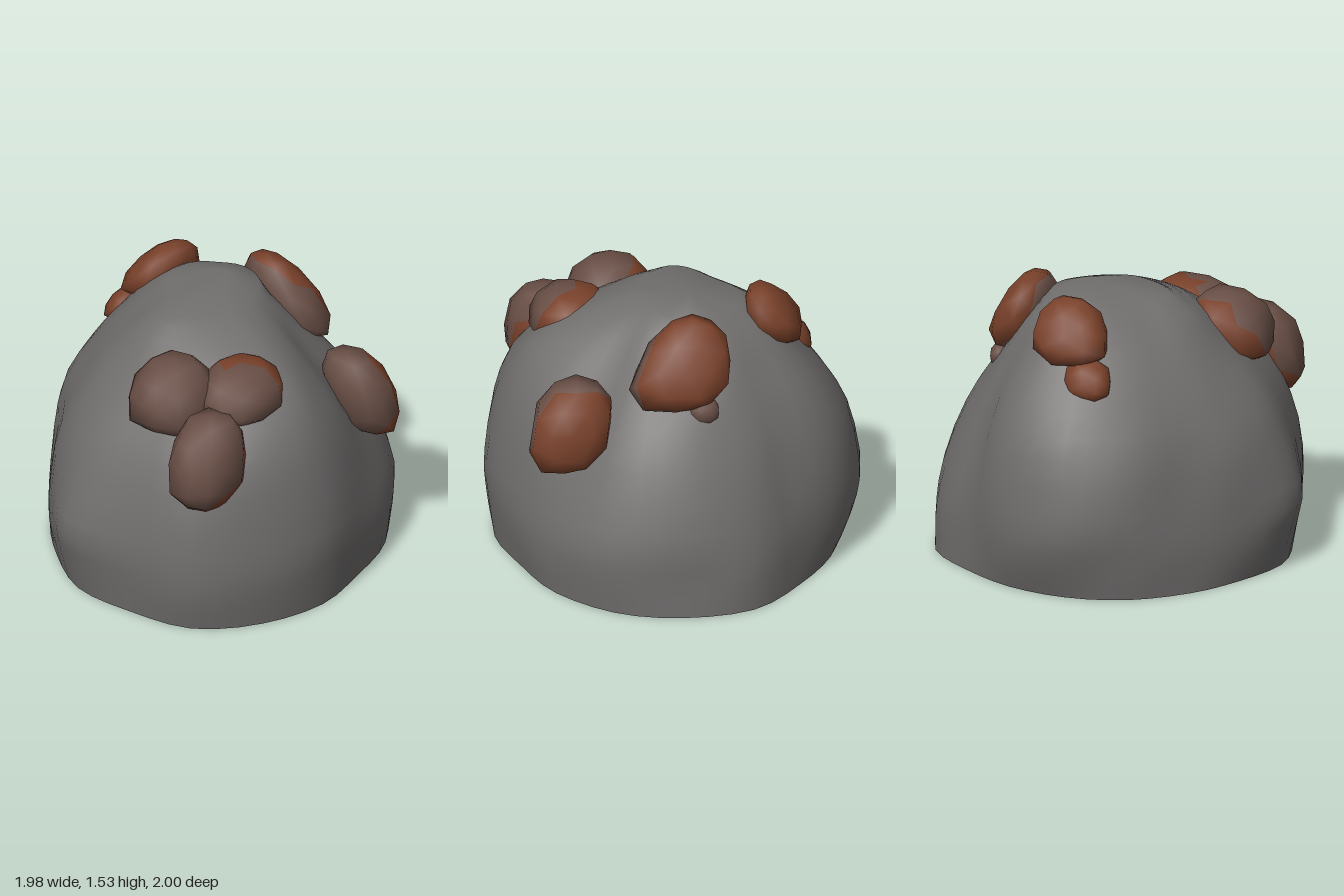
import * as THREE from 'three';
import { mergeVertices } from 'three/addons/utils/BufferGeometryUtils.js';

const mat = (name, color) => {
  const m = new THREE.MeshStandardMaterial({ color });
  m.name = name;
  return m;
};

// Small repeatable bumpiness, from -1 to 1
const bump = (a, b, c) => Math.sin(a * 7.3 + b * 3.1) * Math.cos(b * 6.7 - c * 4.9 + a);

// Boulder cross-sections: height and 16 radii, from +x round through +z
const RINGS = [
  [0.00, [.98, .97, .93, .90, .95, .98, 1.0, .92, .91, .85, .86, .88, .89, .89, .90, .99]],
  [0.20, [.98, .99, .96, .93, .98, 1.01, 1.05, .95, .96, .89, .87, .92, .96, .95, .91, .99]],
  [0.40, [.98, .99, .95, .93, 1.0, 1.02, 1.05, .96, 1.0, .89, .85, .94, 1.0, .97, .90, .95]],
  [0.75, [.85, .86, .81, .86, .94, .98, .99, .89, .89, .83, .79, .87, .94, .92, .83, .83]],
  [1.00, [.70, .69, .64, .75, .86, .89, .85, .76, .75, .70, .67, .73, .80, .82, .74, .70]],
  [1.20, [.52, .51, .48, .58, .72, .69, .63, .58, .56, .55, .54, .58, .64, .68, .62, .58]],
  [1.36, [.39, .37, .35, .39, .45, .43, .41, .41, .43, .41, .38, .42, .50, .54, .50, .46]],
  [1.46, [.33, .26, .22, .2, .2, .19, .20, .23, .27, .26, .24, .26, .34, .38, .37, .37]],
];
const SIDES = 48, ROWS = 17;

// Vertical cleft in the rear right flank
const cleft = (angle, y) =>
  1 - 0.035 * Math.exp(-(((angle + 0.76) / 0.1) ** 2) - ((y - 0.95) / 0.45) ** 4);

function buildBoulder(material) {
  // Smooth each ring, then run a smooth column up through the rings
  const loops = RINGS.map(([y, radii]) => new THREE.CatmullRomCurve3(radii.map((r, i) => {
    const t = i / radii.length * Math.PI * 2;
    return new THREE.Vector3(r * Math.cos(t), y, r * Math.sin(t));
  }), true));
  const pos = [], index = [];
  const columns = Array.from({ length: SIDES }, (_, j) =>
    new THREE.CatmullRomCurve3(loops.map(l => l.getPoint(j / SIDES))));
  for (let i = 0; i < ROWS; i++) {
    for (let j = 0; j < SIDES; j++) {
      const p = columns[j].getPoint(i / (ROWS - 1));
      const k = cleft(Math.atan2(p.z, p.x), p.y) + 0.007 * bump(p.x, p.y, p.z);
      pos.push(p.x * k, p.y, p.z * k);
    }
  }
  for (let i = 0; i < ROWS - 1; i++) {
    for (let j = 0; j < SIDES; j++) {
      const a = i * SIDES + j, b = i * SIDES + (j + 1) % SIDES;
      index.push(a, a + SIDES, b, b, a + SIDES, b + SIDES);
    }
  }
  // Crown
  const peak = pos.length / 3, top = (ROWS - 1) * SIDES;
  pos.push(0.17, 1.525, -0.08);
  for (let j = 0; j < SIDES; j++) index.push(top + j, peak, top + (j + 1) % SIDES);
  const geo = new THREE.BufferGeometry();
  geo.setAttribute('position', new THREE.Float32BufferAttribute(pos, 3));
  geo.setIndex(index);
  geo.computeVertexNormals();
  const rock = new THREE.Mesh(geo, material);
  rock.name = 'boulder';

  // Flat underside with its own normals
  const basePos = pos.slice(0, SIDES * 3).concat([0, 0, 0]), baseIndex = [];
  for (let j = 0; j < SIDES; j++) baseIndex.push(SIDES, j, (j + 1) % SIDES);
  const baseGeo = new THREE.BufferGeometry();
  baseGeo.setAttribute('position', new THREE.Float32BufferAttribute(basePos, 3));
  baseGeo.setIndex(baseIndex);
  baseGeo.computeVertexNormals();
  const base = new THREE.Mesh(baseGeo, material);
  base.name = 'underside';
  return [rock, base];
}

// Blocky nugget; lean shifts its top sideways in x and z, taper narrows its top
function nuggetGeometry([hx, hy, hz], [leanX, leanZ], taper, seed) {
  let geo = new THREE.IcosahedronGeometry(1, 1);
  geo.deleteAttribute('normal');
  geo.deleteAttribute('uv');
  geo = mergeVertices(geo, 1e-3);
  const p = geo.attributes.position;
  for (let i = 0; i < p.count; i++) {
    const x = p.getX(i), y = p.getY(i), z = p.getZ(i);
    const blocky = Math.cbrt(Math.abs(x) ** 3 + Math.abs(y) ** 3 + Math.abs(z) ** 3);
    const k = (1 + 0.06 * bump(x + seed, y, z + seed)) / blocky;
    const w = 1 - taper * y;
    p.setXYZ(i, (x * hx * w + y * leanX) * k, y * hy * k, (z * hz * w + y * leanZ) * k);
  }
  geo.computeVertexNormals();
  return geo;
}

// centre, half sizes, lean, taper, offset of the dull crust
const NUGGETS = [
  [[-.56, .97, .67], [.20, .24, .17], [.05, -.03], 0, [-.012, .016, .009]],
  [[-.50, 1.20, .30], [.22, .19, .21], [.02, -.02], .15, [-.008, .01, .016]],
  [[-.225, 1.23, .53], [.22, .14, .19], [.03, -.03], .1, [-.016, -.001, .013]],
  [[.10, 1.37, -.52], [.19, .16, .13], [.03, .06], .25, null],
  [[-.04, 1.15, -.64], [.12, .10, .09], [.02, .03], .1, null],
  [[.52, 1.30, -.03], [.14, .22, .235], [-.07, -.05], .28, [-.008, -.010, .008]],
  [[.555, .95, .58], [.15, .23, .205], [-.045, -.04], 0, [-.012, .008, .001]],
];

export function createModel() {
  const stone = mat('grey stone', 0x706e6d);
  const ore = mat('copper ore', 0x79412a);
  const crust = mat('dull ore crust', 0x694f46);
  const model = new THREE.Group();
  model.name = 'oreBoulder';
  model.add(...buildBoulder(stone));

  NUGGETS.forEach(([centre, half, lean, taper, shift], i) => {
    const nugget = new THREE.Group();
    nugget.name = 'oreNugget' + (i + 1);
    nugget.position.set(...centre);
    const geo = nuggetGeometry(half, lean, taper, i * 1.7);
    const core = new THREE.Mesh(geo, ore);
    core.name = 'nuggetCore';
    nugget.add(core);
    // A slightly shifted copy shows as a dull skin on one side
    if (shift) {
      const skin = new THREE.Mesh(geo, crust);
      skin.name = 'nuggetCrust';
      skin.position.set(...shift);
      nugget.add(skin);
    }
    model.add(nugget);
  });

  // Small dull chip below the upper side nugget
  const chip = new THREE.Mesh(nuggetGeometry([.06, .07, .08], [0, 0], 0, 2), crust);
  chip.name = 'oreChip';
  chip.position.set(.62, 1.05, -.13);
  model.add(chip);
  return model;
}
